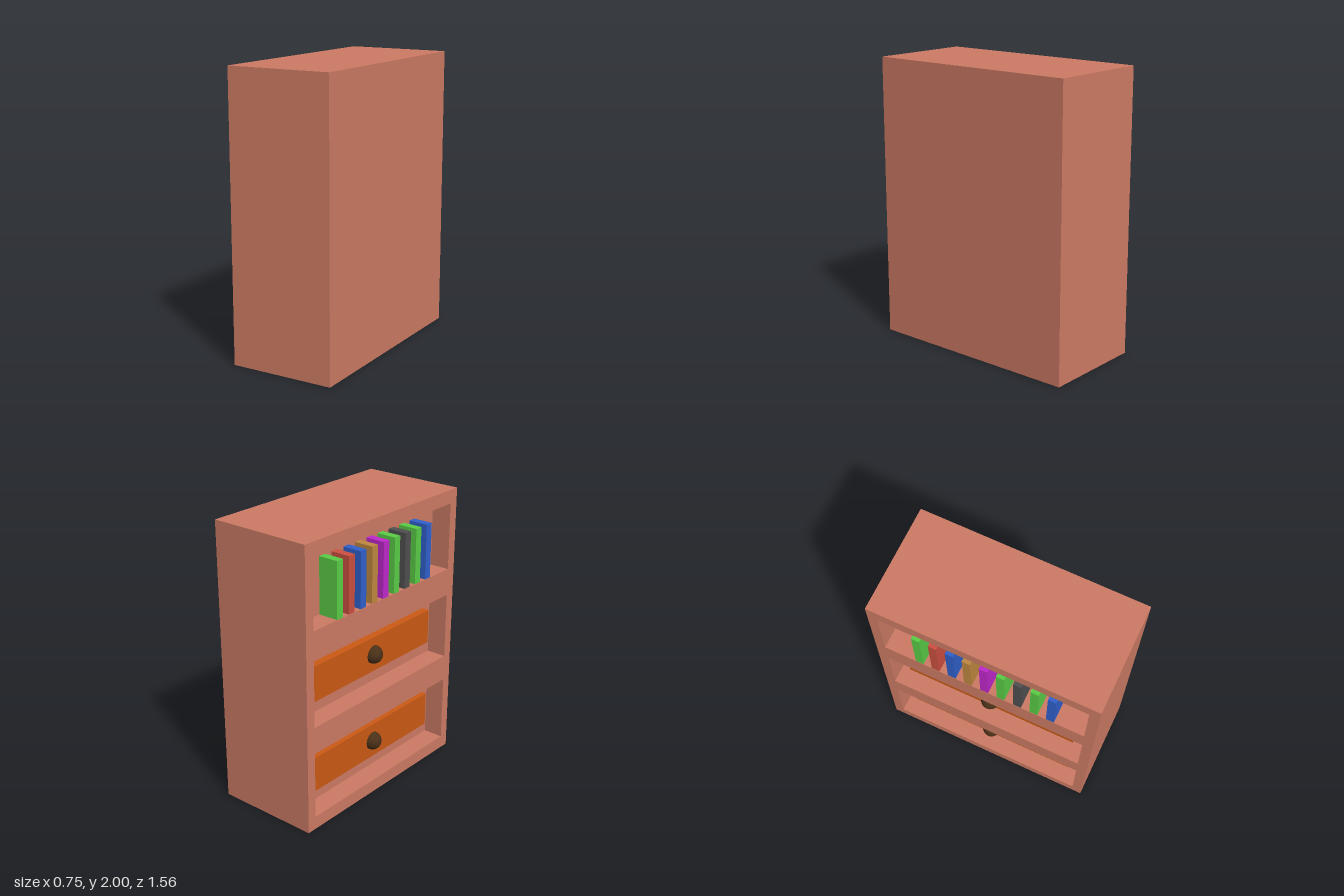
import * as THREE from 'three';

const W = 0.75, H = 2, D = 1.56;   // cabinet extents along x, y, z
const RECESS = 0.147;              // depth of the openings, cut into the -x side
const FACE = -W / 2;               // plane of the open side
const WALL = FACE + RECESS;        // rear wall of the openings
const OPENING = { half: 0.71, height: 0.475, bottoms: [0.093, 0.757, 1.427] };

const mat = (color) => new THREE.MeshStandardMaterial({ color });

function addMesh(parent, name, geometry, material, x = 0, y = 0, z = 0) {
  const mesh = new THREE.Mesh(geometry, material);
  mesh.name = name;
  mesh.position.set(x, y, z);
  parent.add(mesh);
  return mesh;
}

function rectangle(target, x0, y0, x1, y1) {
  target.moveTo(x0, y0);
  target.lineTo(x1, y0);
  target.lineTo(x1, y1);
  target.lineTo(x0, y1);
  target.closePath();
  return target;
}

// Solid rear body plus a slab pierced by three openings
function buildCabinet() {
  const cabinet = new THREE.Group();
  cabinet.name = 'cabinet';
  const wood = mat(0xcd7b64);

  addMesh(cabinet, 'cabinetBody', new THREE.BoxGeometry(W - RECESS, H, D), wood, RECESS / 2, H / 2, 0);

  const outline = rectangle(new THREE.Shape(), -D / 2, 0, D / 2, H);
  for (const y of OPENING.bottoms) {
    outline.holes.push(rectangle(new THREE.Path(), -OPENING.half, y, OPENING.half, y + OPENING.height));
  }
  const frame = new THREE.ExtrudeGeometry(outline, { depth: RECESS, bevelEnabled: false });
  frame.rotateY(-Math.PI / 2);
  addMesh(cabinet, 'shelfFrame', frame, wood, WALL, 0, 0);
  return cabinet;
}

// Drawer front with a round knob, facing -x
function buildDrawer(y) {
  const drawer = new THREE.Group();
  drawer.name = 'drawer';
  const depth = 0.055;
  addMesh(drawer, 'drawerFront', new THREE.BoxGeometry(depth, 0.25, 1.25), mat(0xcc5a14), WALL - depth / 2, y, 0);
  addMesh(drawer, 'drawerKnob', new THREE.SphereGeometry(0.064, 32, 20), mat(0x4a3018), WALL - depth, y, 0);
  return drawer;
}

// Row of evenly spaced books on the top shelf
function buildBooks() {
  const books = new THREE.Group();
  books.name = 'books';
  const colors = [0x5acd46, 0xcc5040, 0x3060cc, 0xc08840, 0xc028cc, 0x5acd46, 0x505050, 0x5acd46, 0x3060cc];
  const height = 0.39, depth = RECESS - 0.002;
  const geometry = new THREE.BoxGeometry(depth, height, 0.056);
  colors.forEach((color, i) => {
    addMesh(books, 'book', geometry, mat(color),
      WALL - depth / 2, OPENING.bottoms[2] + height / 2, -0.458 + i * 0.116);
  });
  return books;
}

export function createModel() {
  const model = new THREE.Group();
  model.name = 'bookcase';
  model.add(buildCabinet(), buildBooks());
  for (const y of OPENING.bottoms.slice(0, 2)) model.add(buildDrawer(y + OPENING.height / 2));
  return model;
}
